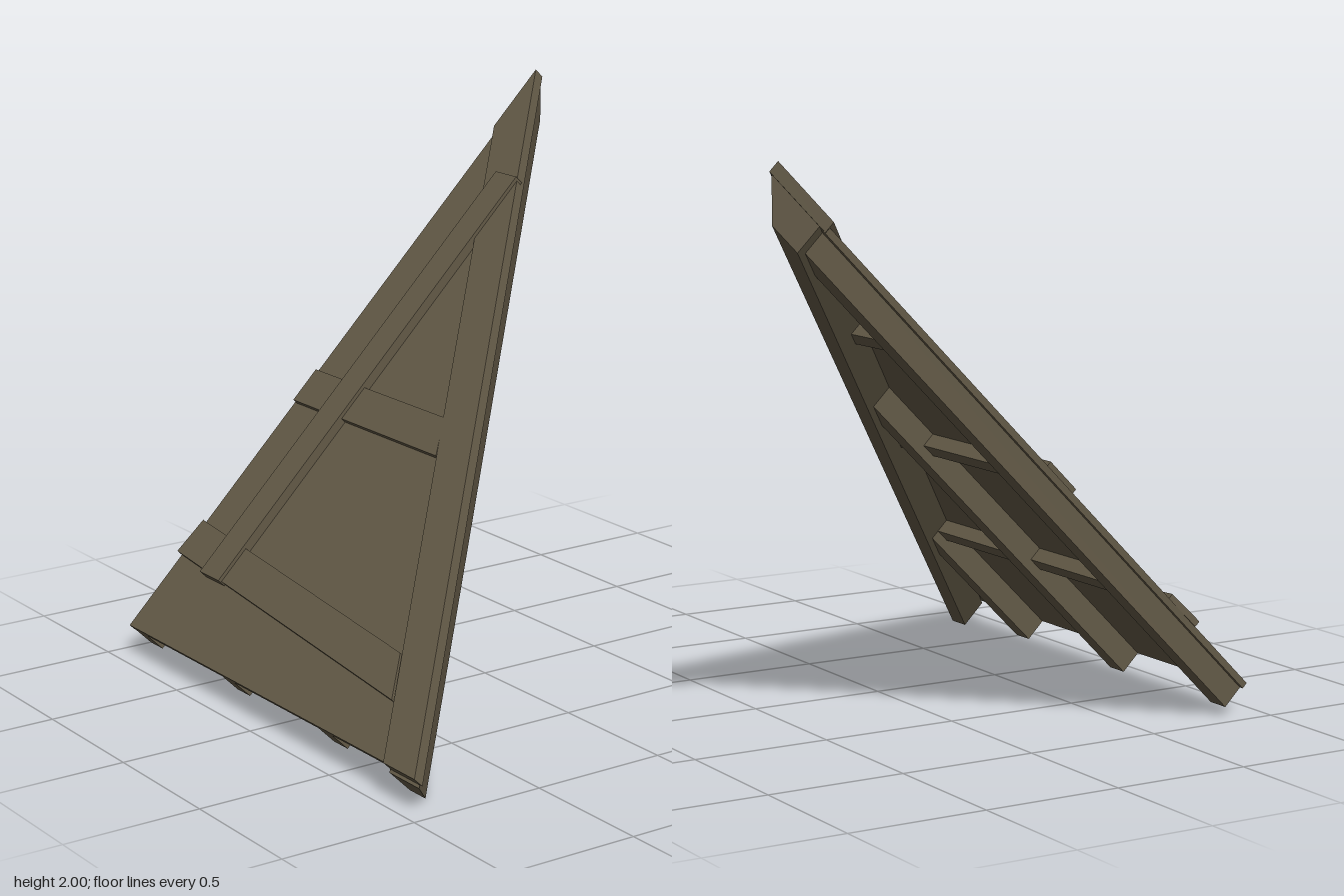
import * as THREE from 'three';
import { ConvexGeometry } from 'three/addons/geometries/ConvexGeometry.js';

const SLOPE = Math.SQRT2; // rise along the roof per unit of x on the hip line

export function createModel() {
  const model = new THREE.Group();
  model.name = 'hipRoofPanel';

  // Everything is laid out flat: x across, y up the slope, z out of the roof
  const roof = new THREE.Group();
  roof.name = 'slopedRoof';
  roof.rotation.x = -Math.PI / 4;
  model.add(roof);

  const wood = new THREE.MeshStandardMaterial({ color: 0x635a47 });
  wood.name = 'weatheredWood';

  const add = (name, geometry) => {
    const mesh = new THREE.Mesh(geometry, wood);
    mesh.name = name;
    roof.add(mesh);
  };
  // Flat plank with any outline, between two heights
  const plank = (name, outline, z0, z1) => {
    const shape = new THREE.Shape(outline.map(([x, y]) => new THREE.Vector2(x, y)));
    const geometry = new THREE.ExtrudeGeometry(shape, { depth: z1 - z0, bevelEnabled: false });
    add(name, geometry.translate(0, 0, z0));
  };
  const rect = (x0, x1, y0, y1) => [[x0, y0], [x1, y0], [x1, y1], [x0, y1]];
  // Inner face of the hip beam, as x at a given slope height and back
  const hipX = (y) => 0.765 - (y + 0.605) / SLOPE;
  const hipY = (x) => (0.765 - x) * SLOPE - 0.605;

  // Triangular sheathing
  plank('sheathing', [[-0.938, -0.587], [0.9, -0.587], [-0.938, 2.0]], 0.718, 0.742);

  // Diagonal trim board along the hip
  plank('hipTrim', [[-0.94, 1.782], [0.765, -0.594], [0.945, -0.594], [-0.94, 2.064]], 0.72, 0.764);

  // Hip beam: outer face is upright, so it leans against the roof plane
  const corners = [];
  for (const z of [0.605, 0.718]) {
    corners.push(
      new THREE.Vector3(0.765, -0.605, z),
      new THREE.Vector3((z + 0.605) / SLOPE, -0.605, z),
      new THREE.Vector3(-0.945, z + 0.945 * SLOPE, z),
      new THREE.Vector3(-0.945, hipY(-0.945), z),
    );
  }
  add('hipBeam', new ConvexGeometry(corners));

  // Rafters, mitred into the hip beam
  for (const x of [-0.88, -0.267, 0.36]) {
    const l = x - 0.042, r = x + 0.042;
    plank('rafter', [[l, -0.587], [r, -0.587], [r, hipY(r) + 0.02], [l, hipY(l) + 0.02]], 0.63, 0.719);
  }

  // Cross pieces under the sheathing
  for (const y of [0, 0.635, 1.27]) {
    plank('crossPiece', rect(-0.88, hipX(y) + 0.03, y - 0.028, y + 0.028), 0.665, 0.719);
  }

  // Patch boards nailed on the outside
  plank('middleBatten', [[-0.925, 0.4525], [0.01, 0.4525], [-0.085, 0.5975], [-0.925, 0.5975]], 0.741, 0.764);
  plank('lowerBatten', [[-0.945, -0.262], [0.61, -0.396], [0.5, -0.24], [-0.93, -0.113]], 0.741, 0.764);
  plank('uprightBoard', rect(-0.725, -0.595, -0.297, 1.5875), 0.741, 0.778);

  return model;
}
